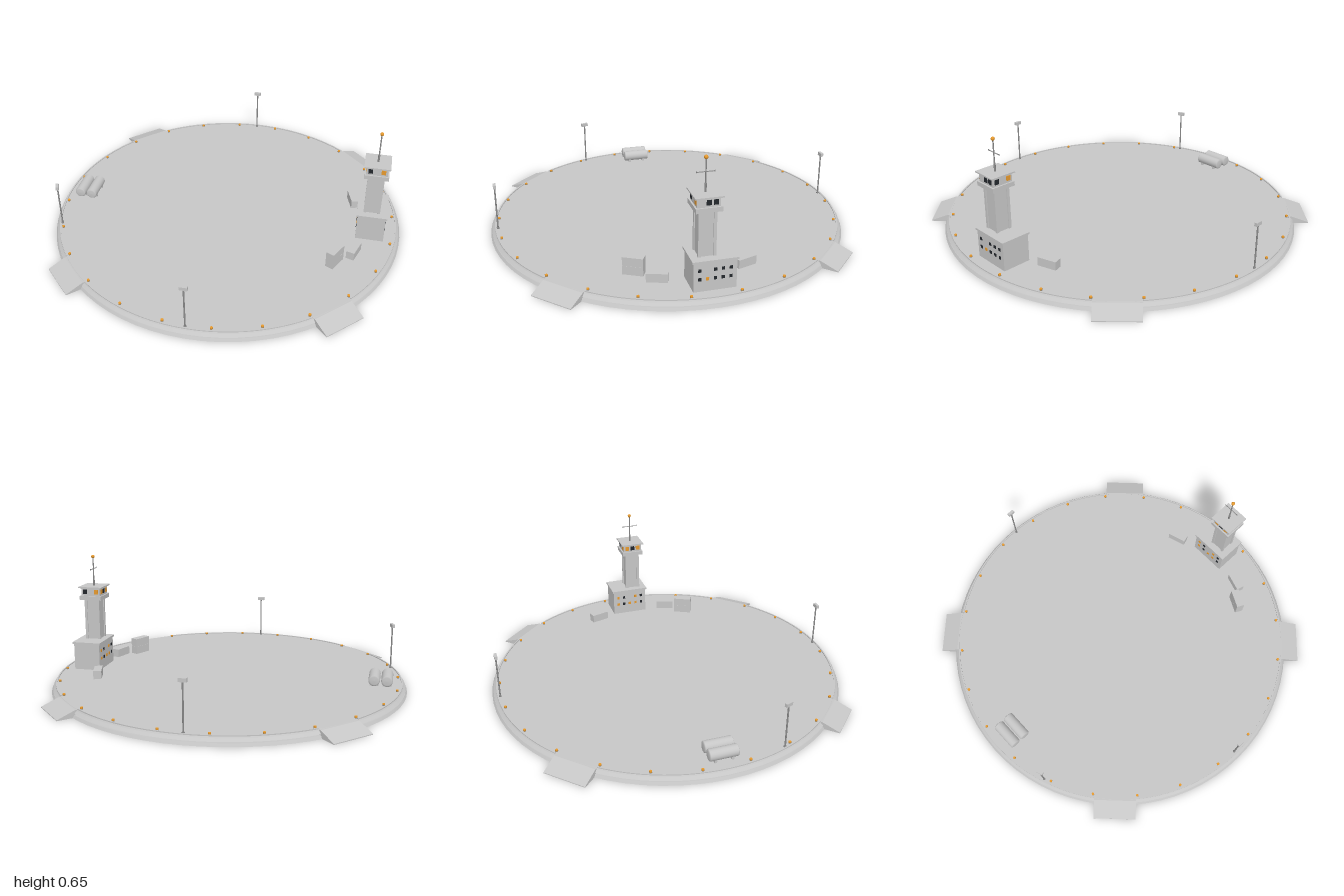
import * as THREE from 'three';

const mat = (name, color) => Object.assign(new THREE.MeshStandardMaterial({ color }), { name });

export function createModel() {
  const concrete = mat('concrete', 0xc6c6c6);
  const steel = mat('steel', 0x8c8c8c);
  const glass = mat('darkGlass', 0x22262b);
  const amber = mat('amberLight', 0xf0a030);
  const DECK = 0.038;
  const root = new THREE.Group();
  root.name = 'landingPad';

  const add = (parent, name, geo, material, x = 0, y = 0, z = 0) => {
    const m = new THREE.Mesh(geo, material);
    m.name = name;
    m.position.set(x, y, z);
    parent.add(m);
    return m;
  };
  const box = (parent, name, w, h, d, material, x, y0, z) =>
    add(parent, name, new THREE.BoxGeometry(w, h, d), material, x, y0 + h / 2, z);
  const rod = (parent, name, r, h, material, x, y0, z) =>
    add(parent, name, new THREE.CylinderGeometry(r, r, h, 8), material, x, y0 + h / 2, z);
  // Group standing at (x, z) with its local +z pointing outward from the pad centre
  const radial = (name, x, z) => {
    const g = new THREE.Group();
    g.name = name;
    g.position.set(x, DECK, z);
    g.rotation.y = Math.atan2(x, z);
    root.add(g);
    return g;
  };

  // Round deck built from stacked bevelled tiers: bottom radius, top radius, y, height
  const tiers = [[0.93, 0.922, 0, 0.014], [0.908, 0.908, 0.014, 0.005],
    [0.922, 0.91, 0.019, 0.012], [0.91, 0.905, 0.031, DECK - 0.031]];
  tiers.forEach(([r0, r1, y, h], i) =>
    add(root, `deckTier${i + 1}`, new THREE.CylinderGeometry(r1, r0, h, 72), concrete, 0, y + h / 2, 0));

  // Kerb arcs, open where the ramps meet the deck
  const gap = 0.125;
  const kerbShape = new THREE.Shape();
  kerbShape.absarc(0, 0, 0.907, gap, Math.PI / 2 - gap, false);
  kerbShape.absarc(0, 0, 0.9, Math.PI / 2 - gap, gap, true);
  const kerbGeo = new THREE.ExtrudeGeometry(kerbShape, { depth: 0.005, bevelEnabled: false, curveSegments: 18 });
  kerbGeo.rotateX(-Math.PI / 2);

  // Four sloping ramps
  const rampShape = new THREE.Shape([[0.88, 0], [1, 0], [1, 0.004], [0.91, 0.0365], [0.88, 0.0365]]
    .map(p => new THREE.Vector2(...p)));
  const rampGeo = new THREE.ExtrudeGeometry(rampShape, { depth: 0.22, bevelEnabled: false });
  rampGeo.translate(0, 0, -0.11);
  for (let i = 0; i < 4; i++) {
    add(root, 'kerb', kerbGeo, concrete, 0, DECK, 0).rotation.y = i * Math.PI / 2;
    add(root, 'ramp', rampGeo, concrete).rotation.y = i * Math.PI / 2;
  }

  // Edge lights
  for (let i = 0; i < 24; i++) {
    const a = (i + 0.5) * Math.PI / 12;
    const g = radial('edgeLight', 0.888 * Math.sin(a), 0.888 * Math.cos(a));
    rod(g, 'lightBase', 0.007, 0.003, steel, 0, 0, 0);
    rod(g, 'lightLens', 0.0068, 0.007, amber, 0, 0.003, 0);
  }

  // Control building, long side facing outward
  const tower = radial('controlTower', 0.547, 0.544);
  box(tower, 'buildingBody', 0.2, 0.142, 0.144, concrete, 0, 0, 0);
  box(tower, 'buildingRoof', 0.213, 0.01, 0.156, concrete, 0, 0.142, 0);

  // Window rows from bottom to top: g is dark, a is lit, a dot is blank wall
  const paint = { g: glass, a: amber };
  const rows = { 1: ['gaggg', 'g.ggg'], [-1]: ['gaaga', 'ga.ga'] };
  for (const side of [1, -1])
    rows[side].forEach((row, r) => [...row].forEach((c, i) => {
      if (paint[c]) box(tower, 'buildingWindow', 0.014, 0.015, 0.004, paint[c],
        (i - 2) * 0.036, 0.054 + r * 0.043, side * 0.0725);
    }));

  // Shaft with corner pilasters
  const shaft = new THREE.Group();
  shaft.name = 'shaftAndCab';
  shaft.position.set(-0.029, 0.152, -0.003);
  tower.add(shaft);
  box(shaft, 'shaft', 0.074, 0.222, 0.074, concrete, 0, 0, 0);
  for (const sx of [-1, 1]) for (const sz of [-1, 1])
    box(shaft, 'pilaster', 0.014, 0.222, 0.014, concrete, sx * 0.035, 0, sz * 0.035);

  // Cab with its own window pattern on each side
  box(shaft, 'cabFloor', 0.122, 0.022, 0.122, concrete, 0, 0.22, 0);
  box(shaft, 'cabBody', 0.106, 0.045, 0.106, concrete, 0, 0.242, 0);
  box(shaft, 'cabRoof', 0.13, 0.007, 0.13, concrete, 0, 0.285, 0);
  ['.gg', 'g.a', 'aga', 'g.a'].forEach((pattern, s) => {
    const face = new THREE.Group();
    face.name = 'cabWindows';
    face.rotation.y = s * Math.PI / 2;
    shaft.add(face);
    [...pattern].forEach((c, i) => {
      if (paint[c]) box(face, 'cabWindow', 0.022, 0.024, 0.004, paint[c], (i - 1) * 0.032, 0.252, 0.0535);
    });
  });

  // Mast, aerial and beacon
  rod(shaft, 'mastFoot', 0.005, 0.04, steel, 0, 0.292, 0);
  rod(shaft, 'mast', 0.0032, 0.155, steel, 0, 0.292, 0);
  box(shaft, 'aerialBar', 0.085, 0.003, 0.003, steel, 0, 0.383, 0);
  for (const s of [-1, 1]) box(shaft, 'aerialTip', 0.003, 0.008, 0.003, steel, s * 0.041, 0.381, 0);
  add(shaft, 'beacon', new THREE.SphereGeometry(0.0095, 10, 8), amber, 0, 0.451, 0);

  // Cargo containers
  for (const [x, z, levels] of [[0.212, 0.655, 2], [0.337, 0.655, 1], [0.617, 0.323, 1]]) {
    const g = radial('containers', x, z);
    for (let i = 0; i < levels; i++)
      box(g, 'container', 0.1, 0.044, 0.042, concrete, 0, i * 0.0445, 0);
  }

  // Two storage tanks with nearly flat ends, on saddles
  const tankProfile = [[0, -0.074], [0.02, -0.073], [0.026, -0.071], [0.029, -0.068],
    [0.029, 0.068], [0.026, 0.071], [0.02, 0.073], [0, 0.074]].map(p => new THREE.Vector2(...p));
  const tankGeo = new THREE.LatheGeometry(tankProfile, 20);
  tankGeo.rotateZ(Math.PI / 2);
  const tanks = radial('storageTanks', -0.563, -0.563);
  for (const s of [-1, 1]) {
    add(tanks, 'tank', tankGeo, concrete, 0, 0.034, s * 0.032);
    for (const e of [-1, 1]) box(tanks, 'saddle', 0.012, 0.018, 0.044, concrete, e * 0.042, 0, s * 0.032);
  }

  // Floodlight poles
  for (const [x, z] of [[0.628, -0.634], [-0.81, -0.377], [-0.634, 0.628]]) {
    const g = radial('floodlight', x, z);
    rod(g, 'poleBase', 0.007, 0.006, steel, 0, 0, 0);
    rod(g, 'pole', 0.004, 0.232, steel, 0, 0, 0);
    box(g, 'lampHead', 0.038, 0.018, 0.015, concrete, 0, 0.228, 0);
  }

  return root;
}
